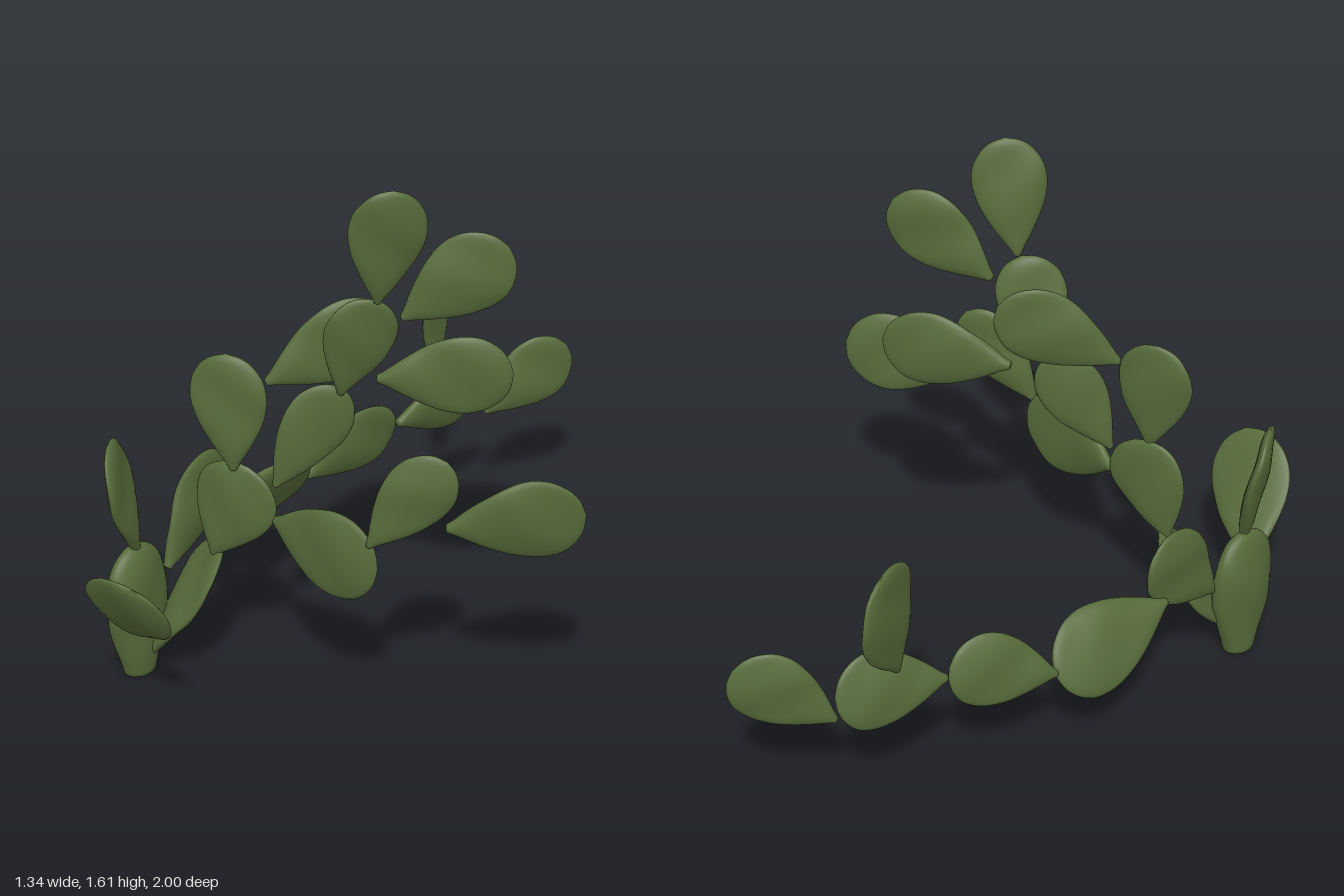
import * as THREE from 'three';

const SIDES = 24;

// Profiles along a pad: [position 0..1, half width factor, half thickness factor]
const PAD = [
  [0, 0.09, 0.5], [0.06, 0.19, 0.7], [0.16, 0.4, 0.9], [0.3, 0.66, 1], [0.46, 0.89, 1],
  [0.62, 1, 0.95], [0.76, 0.95, 0.85], [0.88, 0.74, 0.7], [0.96, 0.44, 0.45], [1, 0, 0],
];
const TRUNK = [
  [0, 0.47, 0.8], [0.08, 0.55, 0.88], [0.25, 0.75, 0.95], [0.45, 0.95, 1], [0.62, 1, 1],
  [0.78, 0.92, 0.85], [0.9, 0.68, 0.62], [0.97, 0.36, 0.35], [1, 0, 0],
];

// Flattened teardrop lofted from base to tip; hint gives the broad direction
function padGeometry({ base, tip, hint, width, thick = 0.05, bend = 0, profile = PAD }) {
  const start = new THREE.Vector3(...base);
  const axis = new THREE.Vector3(...tip).sub(start);
  const length = axis.length();
  axis.normalize();
  const broad = new THREE.Vector3(...hint);
  broad.addScaledVector(axis, -broad.dot(axis)).normalize();
  const normal = new THREE.Vector3().crossVectors(axis, broad);

  const curve = new THREE.CatmullRomCurve3(profile.map((p) => new THREE.Vector3(...p)));
  const rings = curve.getPoints(30);
  rings.unshift(new THREE.Vector3(0, 0, 0)); // closes the base
  const pos = [];
  const index = [];
  const p = new THREE.Vector3();
  rings.forEach((r, i) => {
    for (let j = 0; j < SIDES; j++) {
      const a = (j / SIDES) * Math.PI * 2;
      const w = Math.cos(a) * Math.max(r.y, 0) * width / 2;
      // gentle waviness of the broad faces
      const wave = 0.004 * r.y * Math.sin(r.x * 9 + w * 22 + base[1] * 13);
      const n = Math.sin(a) * Math.max(r.z, 0) * thick / 2 + wave + bend * Math.sin(Math.PI * r.x);
      p.copy(start).addScaledVector(axis, r.x * length).addScaledVector(broad, w).addScaledVector(normal, n);
      pos.push(p.x, p.y, p.z);
      if (i < rings.length - 1) {
        const k = (j + 1) % SIDES;
        const [A, B, C, D] = [i * SIDES + j, i * SIDES + k, (i + 1) * SIDES + j, (i + 1) * SIDES + k];
        index.push(A, B, C, B, D, C);
      }
    }
  });
  const g = new THREE.BufferGeometry();
  g.setAttribute('position', new THREE.Float32BufferAttribute(pos, 3));
  g.setIndex(index);
  g.computeVertexNormals();
  return g;
}

const UP = [0, 1, 0];
const DIAGONAL = [1, 0, -1];

const PARTS = {
  // stem and the pads growing straight from it
  trunk: { base: [-0.59, 0, 0.67], tip: [-0.587, 0.43, 0.67], hint: [0, 0, 1], width: 0.24, thick: 0.11, profile: TRUNK },
  crownPad: { base: [-0.58, 0.41, 0.67], tip: [-0.61, 0.78, 0.73], hint: [0.5, 0, 0.87], width: 0.23 },
  frontPad: { base: [-0.53, 0.22, 0.77], tip: [-0.3, 0.52, 0.985], hint: [1, 0, 0], width: 0.28, bend: -0.022 },
  lowerPad: { base: [-0.56, 0.06, 0.66], tip: [-0.41, 0.41, 0.48], hint: [1, 0, 1], width: 0.29 },

  // branch running backwards
  backPad1: { base: [-0.59, 0.28, 0.53], tip: [-0.6, 0.56, 0.26], hint: UP, width: 0.24 },
  backPad2: { base: [-0.61, 0.37, 0.3], tip: [-0.585, 0.3, -0.125], hint: [0.13, 0.24, 0], width: 0.27, thick: 0.06 },
  backPad3: { base: [-0.58, 0.31, -0.12], tip: [-0.46, 0.43, -0.43], hint: [0.2, 1, 0], width: 0.23 },
  backPad4: { base: [-0.46, 0.4, -0.44], tip: [-0.36, 0.45, -0.77], hint: [0.25, 1, 0], width: 0.24 },
  backPad5: { base: [-0.34, 0.35, -0.75], tip: [-0.175, 0.55, -0.98], hint: UP, width: 0.23 },
  backUprightPad: { base: [-0.45, 0.52, -0.62], tip: [-0.5, 0.91, -0.715], hint: [0.1, 0, 0.27], width: 0.28 },

  // main branch rising to the left
  mainPad: { base: [-0.41, 0.39, 0.52], tip: [-0.29, 0.7, 0.49], hint: [1, 0, -0.22], width: 0.26 },
  uprightPad: { base: [-0.33, 0.69, 0.51], tip: [-0.355, 1.05, 0.5], hint: [0.22, 0, -0.08], width: 0.235 },
  upperPad: { base: [-0.25, 0.97, 0.45], tip: [0.0, 1.155, 0.19], hint: UP, width: 0.24 },
  upperSidePad: { base: [-0.03, 0.955, 0.22], tip: [0.3, 0.985, 0.01], hint: UP, width: 0.245 },
  middlePad: { base: [-0.22, 0.65, 0.46], tip: [-0.075, 0.96, 0.33], hint: DIAGONAL, width: 0.2 },
  highPad: { base: [-0.07, 0.945, 0.34], tip: [0.035, 1.26, 0.32], hint: DIAGONAL, width: 0.21 },
  topPad: { base: [0.05, 1.255, 0.32], tip: [0.12, 1.61, 0.33], hint: DIAGONAL, width: 0.22 },
  topSidePad: { base: [0.085, 1.19, 0.25], tip: [0.335, 1.415, 0.09], hint: UP, width: 0.235 },

  // low branch reaching to the left
  sidePad1: { base: [-0.2, 0.555, 0.485], tip: [0.19, 0.535, 0.51], hint: UP, width: 0.28, bend: 0.025 },
  sidePad2: { base: [0.165, 0.61, 0.52], tip: [0.36, 0.89, 0.41], hint: UP, width: 0.2 },
  sidePad3: { base: [0.355, 0.68, 0.41], tip: [0.675, 0.73, 0.19], hint: [0, 1, 0.15], width: 0.26 },
};

export function createModel() {
  const green = new THREE.MeshStandardMaterial({ color: 0x566a3a });
  green.name = 'cactus green';
  const group = new THREE.Group();
  group.name = 'cactus';
  for (const [name, spec] of Object.entries(PARTS)) {
    const mesh = new THREE.Mesh(padGeometry(spec), green);
    mesh.name = name;
    group.add(mesh);
  }
  return group;
}
